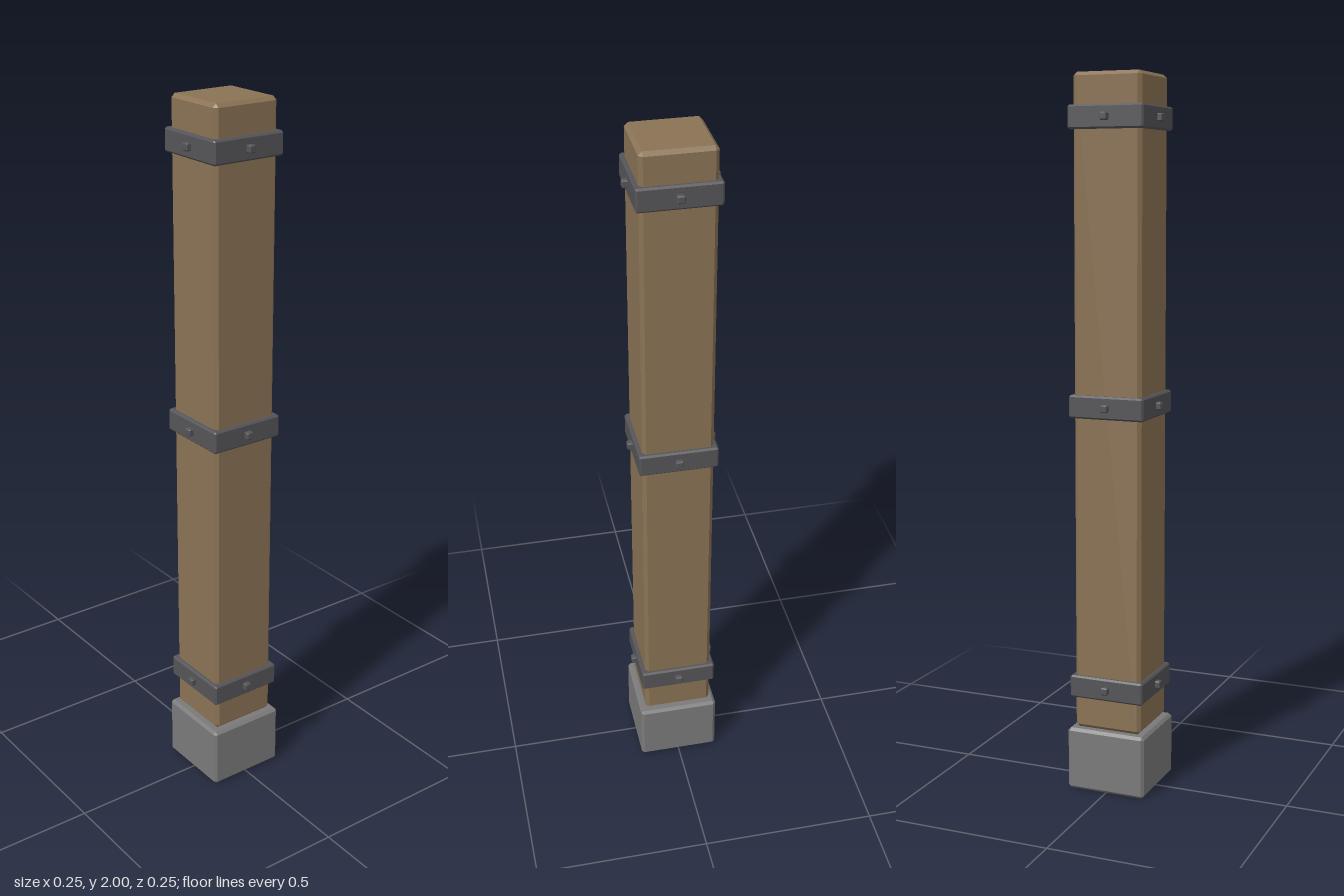
import * as THREE from 'three';
import { ConvexGeometry } from 'three/addons/geometries/ConvexGeometry.js';

// Box with every edge and corner cut flat
function chamferBox(w, h, d, c) {
  const points = [];
  for (const sx of [-1, 1]) for (const sy of [-1, 1]) for (const sz of [-1, 1]) {
    const x = w / 2, y = h / 2, z = d / 2;
    points.push(
      new THREE.Vector3(sx * x, sy * (y - c), sz * (z - c)),
      new THREE.Vector3(sx * (x - c), sy * y, sz * (z - c)),
      new THREE.Vector3(sx * (x - c), sy * (y - c), sz * z),
    );
  }
  return new ConvexGeometry(points);
}

function material(color) {
  return new THREE.MeshStandardMaterial({ color, flatShading: true });
}

export function createModel() {
  const model = new THREE.Group();
  model.name = 'woodenPost';
  const wood = material(0x8b7355);
  const stone = material(0x7a7a7a);
  const iron = material(0x555559);

  function add(parent, name, geometry, mat, x, y, z) {
    const mesh = new THREE.Mesh(geometry, mat);
    mesh.name = name;
    mesh.position.set(x, y, z);
    parent.add(mesh);
  }

  // Stone foot and timber shaft
  add(model, 'stoneBase', chamferBox(0.232, 0.18, 0.232, 0.008), stone, 0, 0.09, 0);
  add(model, 'shaft', chamferBox(0.198, 1.82, 0.198, 0.01), wood, 0, 1.09, 0);

  // Iron bands, each with one rivet per side
  const bandGeometry = chamferBox(0.22, 0.064, 0.22, 0.005);
  const rivetGeometry = chamferBox(0.021, 0.021, 0.03, 0.003);
  for (const y of [0.303, 1.103, 1.882]) {
    const band = new THREE.Group();
    band.name = 'ironBand';
    band.position.y = y;
    add(band, 'bandStrap', bandGeometry, iron, 0, 0, 0);
    for (let i = 0; i < 4; i++) {
      const side = new THREE.Group();
      side.name = 'rivetSide';
      side.rotation.y = i * Math.PI / 2;
      add(side, 'rivet', rivetGeometry, iron, 0, 0, 0.109);
      band.add(side);
    }
    model.add(band);
  }
  return model;
}
